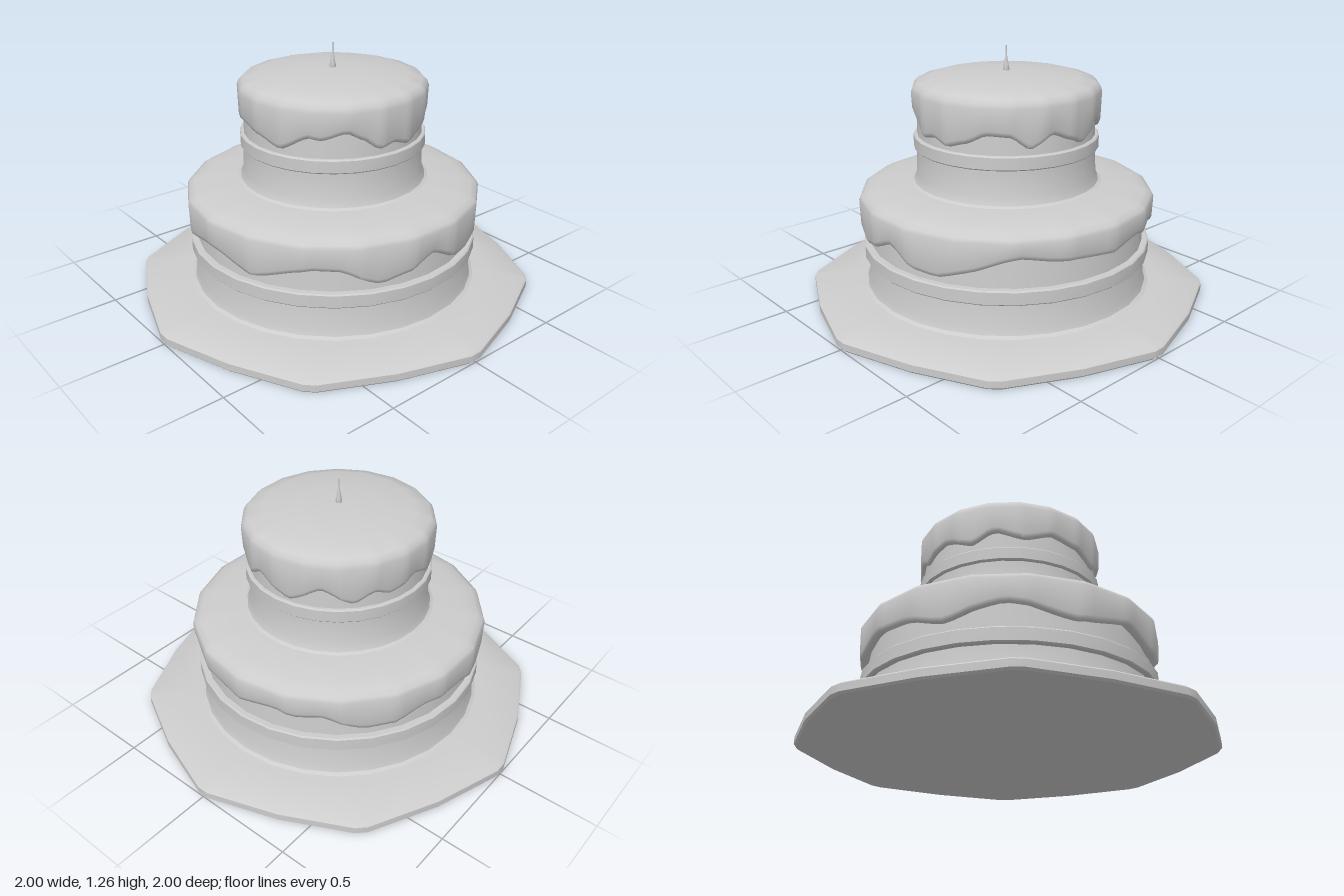
import * as THREE from 'three';
import { toCreasedNormals } from 'three/addons/utils/BufferGeometryUtils.js';

const rad = THREE.MathUtils.degToRad;

// Skin through rings listed from the inside bottom, up the outside, to the top.
// Each ring is [radius, height]; either may be a function of the angle in degrees.
function ringSkin(rings, angles, crease = 0.6) {
  const value = (v, a) => (typeof v === 'function' ? v(a) : v);
  const n = angles.length, points = [], index = [];
  for (const [r, y] of rings) {
    for (const a of angles) {
      const radius = value(r, a);
      points.push(radius * Math.cos(rad(a)), value(y, a), radius * Math.sin(rad(a)));
    }
  }
  for (let i = 0; i < rings.length - 1; i++) {
    for (let j = 0; j < n; j++) {
      const k = (j + 1) % n;
      const a = i * n + j, b = i * n + k, c = a + n, d = b + n;
      index.push(a, c, b, b, c, d);
    }
  }
  const g = new THREE.BufferGeometry();
  g.setAttribute('position', new THREE.Float32BufferAttribute(points, 3));
  g.setIndex(index);
  return toCreasedNormals(g, crease);
}

const evenAngles = (n) => Array.from({ length: n }, (_, i) => (i * 360) / n);

// Radius factor that turns a circle into a regular polygon.
function polygon(sides) {
  const step = 360 / sides;
  return (a) => Math.cos(rad(step / 2)) / Math.cos(rad((a % step) - step / 2));
}

// Closed, eased curve through [angle, height] pairs, the first at angle 0.
function wave(keys) {
  const loop = [...keys, [360, keys[0][1]]];
  return (a) => {
    const i = Math.max(1, loop.findIndex((k) => k[0] >= a));
    const [a0, y0] = loop[i - 1], [a1, y1] = loop[i];
    const t = (a - a0) / (a1 - a0);
    const eased = 0.5 * t + 0.5 * t * t * (3 - 2 * t);
    return y0 + (y1 - y0) * eased;
  };
}

export function createModel() {
  const model = new THREE.Group();
  const lightGrey = new THREE.MeshStandardMaterial({ color: 0xcccccc });
  lightGrey.name = 'light grey';

  const add = (name, geometry) => {
    const mesh = new THREE.Mesh(geometry, lightGrey);
    mesh.name = name;
    model.add(mesh);
  };
  const turned = (profile, sides) => ringSkin(profile, evenAngles(sides));

  // Plate: octagon with clipped corners and bulging sides
  const plateAngles = [];
  for (let k = 0; k < 8; k++) plateAngles.push(45 * k - 1.7, 45 * k + 1.7, 45 * k + 22.5);
  const rim = (scale) => (a) => scale * (Math.abs((a + 45) % 45 - 22.5) < 1 ? 0.96 : 1);
  add('plate', ringSkin([
    [0, 0], [rim(0.99), 0], [rim(1), 0.01], [rim(1), 0.043], [rim(0.988), 0.052],
    [0.78, 0.08], [0, 0.082],
  ], plateAngles));

  // Cake tiers with flared feet
  add('lowerTier', turned([
    [0.735, 0.075], [0.71, 0.09], [0.7, 0.12], [0.688, 0.26], [0.682, 0.4], [0.675, 0.5],
  ], 28));
  add('upperTier', turned([
    [0.49, 0.588], [0.458, 0.605], [0.444, 0.64], [0.44, 0.75], [0.435, 0.9], [0.43, 1],
  ], 28));

  // Ribbons
  const ribbon = (r, y0, y1) => turned([
    [r - 0.05, y0], [r - 0.006, y0], [r, y0 + 0.006],
    [r, y1 - 0.006], [r - 0.006, y1], [r - 0.05, y1],
  ], 28);
  add('lowerRibbon', ribbon(0.718, 0.238, 0.308));
  add('upperRibbon', ribbon(0.455, 0.768, 0.836));

  // Dripping icing: eighteen-sided caps with wavy lower edges
  const facet = polygon(18);
  const icing = (r, drip, top) => {
    const wide = (s) => (a) => s * facet(a);
    const lift = (h) => (a) => drip(a) + h;
    return ringSkin([
      [wide(r - 0.06), lift(0.02)], [wide(r - 0.022), lift(0)],
      [wide(r - 0.01), lift(0.006)], [wide(r - 0.004), lift(0.025)],
      ...top.map(([s, y]) => [wide(s), y]),
    ], evenAngles(108), 0.9);
  };
  const lowerDrip = wave([
    [0, 0.41], [24, 0.43], [38, 0.455], [57, 0.38], [68, 0.34], [76, 0.35], [90, 0.425],
    [102, 0.37], [112, 0.34], [127, 0.415], [137, 0.42], [159, 0.35], [180, 0.41],
    [203, 0.36], [228, 0.42], [250, 0.35], [268, 0.4], [286, 0.41], [300, 0.37],
    [311, 0.36], [327, 0.43], [336, 0.415], [344, 0.435],
  ]);
  add('lowerIcing', icing(0.732, lowerDrip, [
    [0.732, 0.53], [0.724, 0.548], [0.695, 0.565], [0.64, 0.582], [0.48, 0.597], [0, 0.6],
  ]));
  const upperDrip = wave([
    [0, 0.88], [14, 0.92], [28, 0.86], [40, 0.92], [54, 0.925], [67, 0.88], [79, 0.855],
    [90, 0.88], [101, 0.865], [112, 0.92], [121, 0.955], [136, 0.92], [143, 0.93],
    [162, 0.86], [180, 0.9], [200, 0.92], [218, 0.88], [235, 0.92], [250, 0.87],
    [270, 0.92], [290, 0.88], [300, 0.91], [312, 0.86], [331, 0.93], [351, 0.85],
  ]);
  add('upperIcing', icing(0.463, upperDrip, [
    [0.463, 1.05], [0.455, 1.073], [0.435, 1.093], [0.36, 1.115], [0.17, 1.133], [0, 1.138],
  ]));

  // Candle with a fine wick
  add('candle', turned([
    [0.012, 1.125], [0.016, 1.142], [0.012, 1.165], [0.006, 1.2], [0.003, 1.215],
    [0.003, 1.258], [0, 1.26],
  ], 10));

  return model;
}
